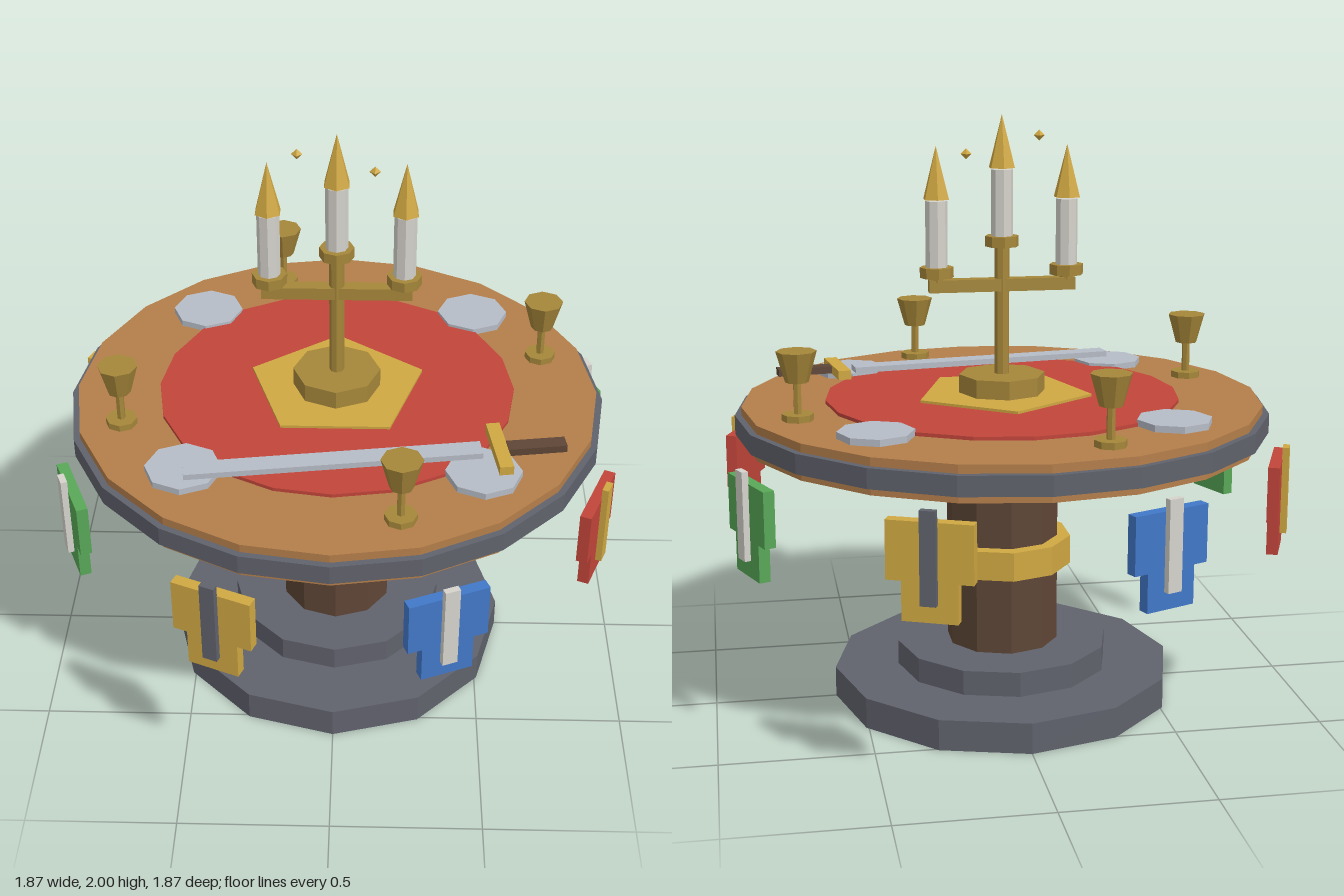
import * as THREE from 'three';

const mat = (name, color) => {
  const m = new THREE.MeshStandardMaterial({ color, flatShading: true });
  m.name = name;
  return m;
};

export function createModel() {
  const stone = mat('stone', 0x60626c);
  const wood = mat('wood', 0xb47e4a);
  const darkWood = mat('dark wood', 0x5e4636);
  const gold = mat('gold', 0xd0a842);
  const bronze = mat('bronze', 0xa6873a);
  const silver = mat('silver', 0xb6bcc6);
  const wax = mat('pale wax', 0xd6d3cc);
  const red = mat('red cloth', 0xc2453a);
  const green = mat('green cloth', 0x58a858);
  const blue = mat('blue cloth', 0x4278c8);

  const model = new THREE.Group();
  model.name = 'roundTable';

  const add = (parent, name, geometry, material, x = 0, y = 0, z = 0) => {
    const m = new THREE.Mesh(geometry, material);
    m.name = name;
    m.position.set(x, y, z);
    parent.add(m);
    return m;
  };
  // Upright faceted cylinder between two heights
  const disc = (parent, name, material, r, y0, y1, sides, x = 0, z = 0, rBottom = r) =>
    add(parent, name, new THREE.CylinderGeometry(r, rBottom, y1 - y0, sides), material, x, (y0 + y1) / 2, z);
  const box = (parent, name, material, w, h, d, x, y, z) =>
    add(parent, name, new THREE.BoxGeometry(w, h, d), material, x, y, z);
  const group = (name) => {
    const g = new THREE.Group();
    g.name = name;
    model.add(g);
    return g;
  };

  // Pedestal
  disc(model, 'baseStep', stone, 0.587, 0, 0.105, 12);
  disc(model, 'upperStep', stone, 0.367, 0.105, 0.19, 12);
  disc(model, 'column', darkWood, 0.193, 0.19, 0.87, 10);
  disc(model, 'columnBand', gold, 0.238, 0.465, 0.565, 10);
  disc(model, 'columnHead', darkWood, 0.44, 0.865, 0.93, 12);

  // Tabletop with rim, cloth and centre plate
  disc(model, 'tabletop', wood, 0.88, 0.93, 1.048, 20);
  disc(model, 'tableRim', stone, 0.902, 0.955, 1.02, 20);
  disc(model, 'tableCloth', red, 0.6, 1.045, 1.06, 20);
  disc(model, 'centrePlate', gold, 0.306, 1.058, 1.069, 5).rotation.y = Math.PI;

  // Plates
  for (const sx of [-1, 1]) for (const sz of [-1, 1])
    disc(model, 'plate', silver, 0.123, 1.046, 1.07, 8, sx * 0.477, sz * 0.477);

  // Goblets
  for (const [x, z] of [[-0.215, -0.705], [0.703, -0.215], [-0.705, 0.215], [0.213, 0.703]]) {
    const g = group('goblet');
    g.position.set(x, 0, z);
    disc(g, 'gobletFoot', bronze, 0.052, 1.046, 1.07, 8);
    disc(g, 'gobletStem', bronze, 0.014, 1.07, 1.178, 6);
    disc(g, 'gobletCup', bronze, 0.066, 1.174, 1.275, 8, 0, 0, 0.038);
  }

  // Candlestick
  const stick = group('candlestick');
  disc(stick, 'candlestickFoot', bronze, 0.147, 1.068, 1.132, 8);
  disc(stick, 'candlestickStem', bronze, 0.025, 1.13, 1.57, 8);
  box(stick, 'candlestickArm', bronze, 0.495, 0.042, 0.045, 0, 1.436, 0);
  for (const [x, y] of [[-0.22, 1.465], [0, 1.565], [0.22, 1.465]]) {
    disc(stick, 'cupSupport', bronze, 0.025, y - 0.015, y, 8, x);
    disc(stick, 'candleCup', bronze, 0.057, y, y + 0.035, 8, x);
    disc(stick, 'candle', wax, 0.037, y + 0.035, y + 0.255, 8, x);
    add(stick, 'flame', new THREE.ConeGeometry(0.046, 0.175, 6), gold, x, y + 0.3475, 0);
  }
  for (const [x, y] of [[-0.125, 1.93], [0.12, 1.872]])
    add(stick, 'spark', new THREE.OctahedronGeometry(0.018), gold, x, y, 0);

  // Sword lying across the table
  const sword = group('sword');
  sword.position.set(0, 1.082, 0.452);
  sword.rotation.y = 0.144;
  box(sword, 'blade', silver, 0.955, 0.02, 0.068, 0, 0, 0);
  box(sword, 'guard', gold, 0.045, 0.032, 0.24, 0.535, 0.003, 0.005);
  box(sword, 'grip', darkWood, 0.19, 0.025, 0.05, 0.655, 0.004, 0.008);

  // Hanging banners: T-shaped cloth with a narrow outer strip
  const outline = new THREE.Shape([
    [-0.135, 0.89], [-0.135, 0.705], [-0.087, 0.705], [-0.087, 0.58],
    [0.087, 0.58], [0.087, 0.705], [0.135, 0.705], [0.135, 0.89],
  ].map(([x, y]) => new THREE.Vector2(x, y)));
  const cloth = new THREE.ExtrudeGeometry(outline, { depth: 0.038, bevelEnabled: false });
  const styles = [[blue, wax], [red, gold], [green, wax], [gold, stone]];
  for (let i = 0; i < 8; i++) {
    const [main, trim] = styles[i % 4];
    const b = group('banner');
    b.rotation.y = Math.PI / 8 + i * Math.PI / 4;
    add(b, 'bannerCloth', cloth, main, 0, 0, 0.916);
    box(b, 'bannerStrip', trim, 0.05, 0.293, 0.022, 0, 0.784, 0.964);
  }
  return model;
}
